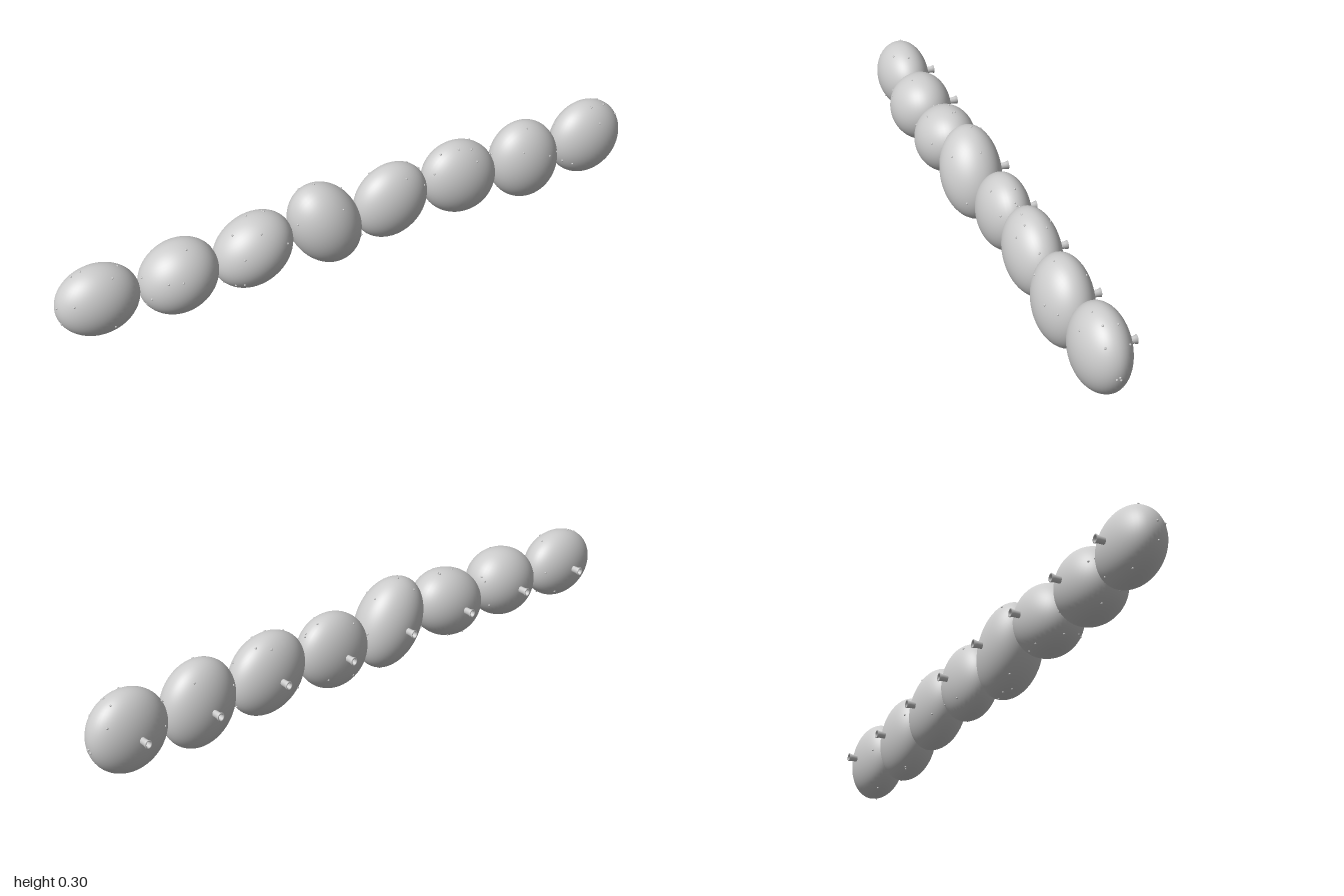
import * as THREE from 'three';

// Each bead: centre x, y, z, semi-axes a, b, front depth, back depth, in-plane tilt
const BEADS = [
  [-0.866, 0.140, -0.008, 0.129, 0.112, 0.090, 0.079, -0.05],
  [-0.617, 0.142, 0.008, 0.126, 0.114, 0.106, 0.093, 0.41],
  [-0.370, 0.146, 0.005, 0.133, 0.111, 0.103, 0.091, 0.5],
  [-0.123, 0.154, 0.003, 0.150, 0.110, 0.103, 0.089, 2.05],
  [0.121, 0.145, -0.012, 0.130, 0.121, 0.084, 0.075, 0.7],
  [0.370, 0.152, -0.009, 0.137, 0.122, 0.088, 0.078, -0.68],
  [0.617, 0.140, -0.005, 0.139, 0.121, 0.092, 0.081, -1.27],
  [0.864, 0.146, -0.010, 0.128, 0.128, 0.087, 0.077, 0],
];

// Front stud offsets from each bead centre, x and y
const FRONT_STUDS = [
  [[0.035, 0.09], [-0.09, 0.04], [0.02, -0.06]],
  [[0.015, 0.108], [-0.025, 0.04], [-0.065, 0.04], [-0.108, -0.015]],
  [[0, 0.09], [0.08, 0.035], [-0.065, 0.03], [-0.065, -0.066], [-0.086, -0.07]],
  [[0.025, 0.08], [0.1, -0.05], [-0.11, 0.05]],
  [[0.026, 0.095], [0.106, 0.08], [0.095, 0.047]],
  [[-0.02, 0.12], [0.023, 0.11], [0.028, 0.078], [-0.11, 0.06], [0.103, 0.06]],
  [[-0.01, 0.13], [-0.047, 0.072], [0.05, 0.034], [0.092, 0.024]],
  [[0, 0.12], [0.01, 0.077], [-0.08, -0.056], [-0.107, -0.045]],
];

// Studs near the outer end of the strip, as directions from the last bead's centre
const END_STUDS = [
  [0.128, -0.02, 0.008], [0.126, -0.024, -0.005], [0.1, 0.071, 0.033], [0.09, 0.058, -0.043],
];

function seeded(seed) {
  return () => {
    seed = (seed * 16807) % 2147483647;
    return seed / 2147483647;
  };
}

// Flattened ball whose front bulges more than its back
function beadGeometry(a, b, front, back) {
  const geometry = new THREE.SphereGeometry(1, 48, 32);
  const position = geometry.attributes.position;
  const normal = geometry.attributes.normal;
  for (let i = 0; i < position.count; i++) {
    const x = position.getX(i), y = position.getY(i), z = position.getZ(i);
    const c = z > 0 ? front : back;
    position.setXYZ(i, x * a, y * b, z * c);
    const n = new THREE.Vector3(x / a, y / b, z / c).normalize();
    normal.setXYZ(i, n.x, n.y, n.z);
  }
  return geometry;
}

export function createModel() {
  const model = new THREE.Group();
  model.name = 'beadStrip';
  const grey = new THREE.MeshStandardMaterial({ color: 0xcccccc });
  grey.name = 'lightGrey';

  const studGeometry = new THREE.SphereGeometry(0.0035, 8, 6);
  // Hollow, slightly flared peg, a little taller than wide
  const pegProfile = [[0.006, 0], [0.009, 0], [0.0095, 0.04], [0.012, 0.05], [0.008, 0.05], [0.006, 0]];
  const pegGeometry = new THREE.LatheGeometry(pegProfile.map(([r, h]) => new THREE.Vector2(r, h)), 20)
    .rotateX(-Math.PI / 2)
    .scale(1, 1.2, 1);
  const random = seeded(4217);

  BEADS.forEach(([x, y, z, a, b, front, back, tilt], i) => {
    const unit = new THREE.Group();
    unit.name = `beadUnit${i + 1}`;
    unit.position.set(x, y, z);
    model.add(unit);

    const bead = new THREE.Mesh(beadGeometry(a, b, front, back), grey);
    bead.name = 'bead';
    bead.rotation.z = tilt;
    unit.add(bead);

    // All pegs end at a common plane behind the strip
    const peg = new THREE.Mesh(pegGeometry, grey);
    peg.name = 'backPeg';
    peg.position.z = -0.065 - z;
    unit.add(peg);

    // Tiny studs, set on the bead's surface along a direction
    const addStud = (dx, dy, dz) => {
      const u = (dx * Math.cos(tilt) + dy * Math.sin(tilt)) / a;
      const v = (dy * Math.cos(tilt) - dx * Math.sin(tilt)) / b;
      const stud = new THREE.Mesh(studGeometry, grey);
      stud.name = 'stud';
      stud.position.set(dx, dy, dz).divideScalar(Math.hypot(u, v, dz / (dz > 0 ? front : back)));
      unit.add(stud);
    };
    for (const [dx, dy] of FRONT_STUDS[i]) {
      const u = (dx * Math.cos(tilt) + dy * Math.sin(tilt)) / a;
      const v = (dy * Math.cos(tilt) - dx * Math.sin(tilt)) / b;
      addStud(dx, dy, front * Math.sqrt(Math.max(0, 1 - u * u - v * v)));
    }
    // Scattered studs on the back and around the rim
    for (let k = 0; k < 8; k++) {
      const angle = (k + random()) * Math.PI * 0.5;
      const depth = k < 4 ? -0.08 * random() : 0.05 * (random() - 0.5);
      addStud(0.12 * Math.cos(angle), 0.12 * Math.sin(angle), depth);
    }
    if (i === 0) addStud(-0.13, 0.02, 0.01);
    if (i === BEADS.length - 1) END_STUDS.forEach((d) => addStud(...d));
  });

  return model;
}
